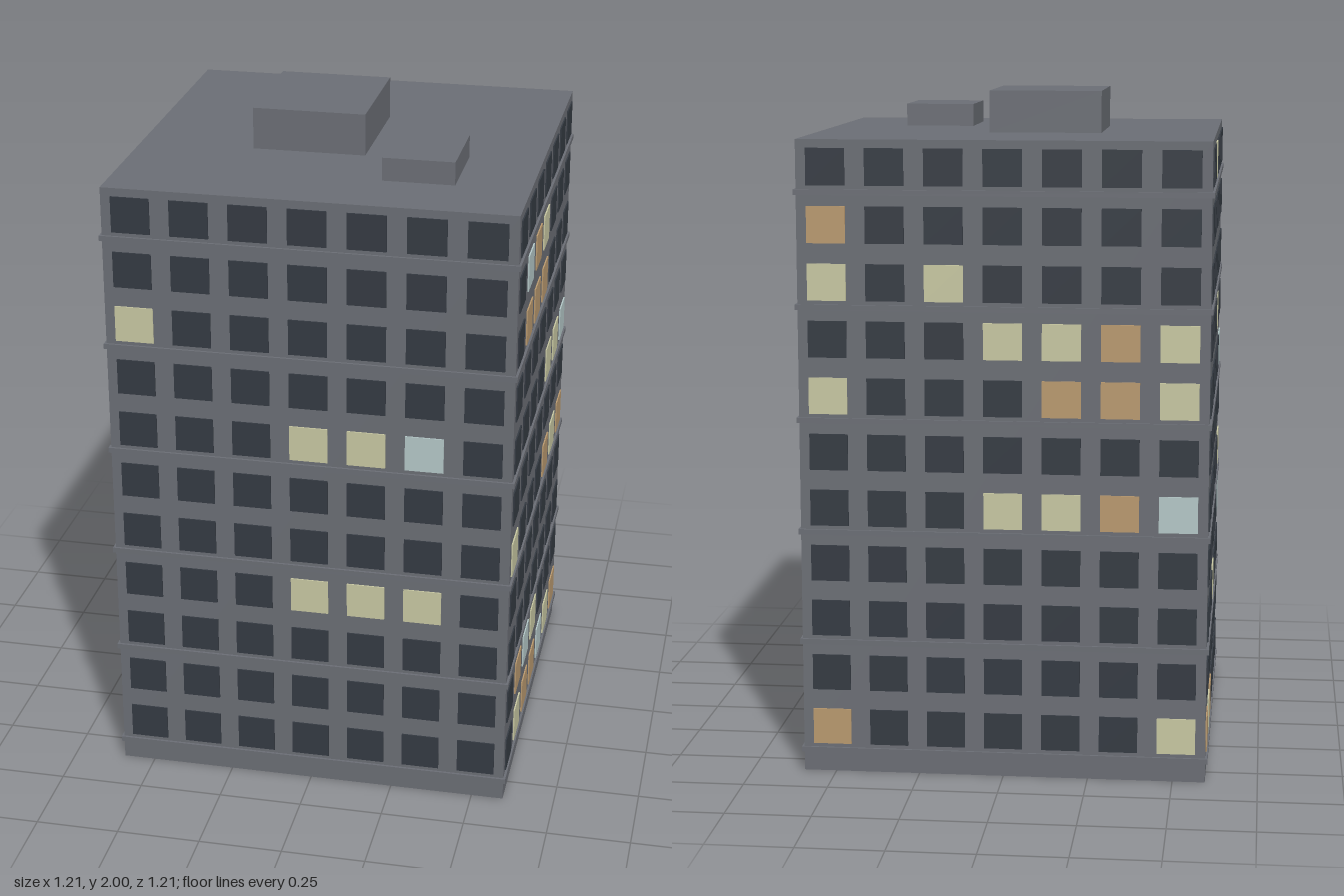
import * as THREE from 'three';

const material = (name, color) => {
  const m = new THREE.MeshStandardMaterial({ color });
  m.name = name;
  return m;
};

const HALF = 0.596;       // half width of the walls
const ROOF = 1.876;       // roof height
const FLOOR = 0.065;      // underside of the lowest storey
const ROW_STEP = 0.166, COL_STEP = 0.17, FIRST_ROW = 0.138;

// Window rows from top to bottom, columns left to right seen from outside:
// . dark, Y yellow, O orange, B pale blue
const FACADES = [
  { name: 'frontWindows', turn: 0, rows: [
    '.......', '.......', 'Y......', '.......', '...YYB.', '.......',
    '.......', '...YYY.', '.......', '.......', '.......'] },
  { name: 'plusXWindows', turn: Math.PI / 2, rows: [
    '.......', '.BOY...', '.OOO...', '.......', '....YYB', '.......',
    'Y...OYO', '.......', '.......', '.OBY...', '.YOOBYO'] },
  { name: 'backWindows', turn: Math.PI, rows: [
    '.......', 'O......', 'Y.Y....', '...YYOY', 'Y...OOY', '.......',
    '...YYOB', '.......', '.......', '.......', 'O.....Y'] },
  { name: 'minusXWindows', turn: -Math.PI / 2, rows: [
    '..Y....', '.......', '.......', '....Y..', '......B', '.......',
    '......Y', '......B', '...Y...', '.......', 'OYO....'] },
];

export function createModel() {
  const model = new THREE.Group();
  model.name = 'officeTower';

  const concrete = material('concrete grey', 0x6c6f76);
  const glass = {
    '.': material('dark glass', 0x353b43),
    Y: material('yellow lit glass', 0xcacaa4),
    O: material('orange lit glass', 0xbb9b70),
    B: material('pale blue lit glass', 0xb6caca),
  };

  // Box given by its x, y and z ranges
  const block = (name, [x0, x1], [y0, y1], [z0, z1]) => {
    const mesh = new THREE.Mesh(new THREE.BoxGeometry(x1 - x0, y1 - y0, z1 - z0), concrete);
    mesh.position.set((x0 + x1) / 2, (y0 + y1) / 2, (z0 + z1) / 2);
    mesh.name = name;
    model.add(mesh);
  };

  // Main block and the two roof boxes
  block('tower', [-HALF, HALF], [FLOOR, ROOF], [-HALF, HALF]);
  block('largeRoofBox', [-0.255, 0.08], [ROOF, 2], [-0.215, 0.17]);
  block('smallRoofBox', [0.17, 0.38], [ROOF, 1.944], [0.125, 0.38]);

  // Thin-walled base, open underneath
  const square = (Type, h) => new Type([[-h, -h], [h, -h], [h, h], [-h, h]]
    .map(([x, y]) => new THREE.Vector2(x, y)));
  const ring = square(THREE.Shape, HALF);
  ring.holes.push(square(THREE.Path, HALF - 0.006));
  const baseGeometry = new THREE.ExtrudeGeometry(ring, { depth: FLOOR, bevelEnabled: false });
  baseGeometry.rotateX(-Math.PI / 2);
  const base = new THREE.Mesh(baseGeometry, concrete);
  base.name = 'baseWall';
  model.add(base);

  // Ledges running round the tower at every second storey
  for (let i = 0; i < 6; i++) {
    const y = 0.065 + i * 2 * ROW_STEP;
    for (const side of [0, 1, 2, 3]) {
      const ledge = new THREE.Mesh(new THREE.BoxGeometry(1.206, 0.016, 0.014), concrete);
      const turn = side * Math.PI / 2;
      ledge.position.set(Math.sin(turn) * HALF, y, Math.cos(turn) * HALF);
      ledge.rotation.y = turn;
      ledge.name = 'ledge';
      model.add(ledge);
    }
  }

  // Window panes standing slightly proud of each wall
  const pane = new THREE.BoxGeometry(0.113, 0.107, 0.008);
  for (const { name, turn, rows } of FACADES) {
    const facade = new THREE.Group();
    facade.name = name;
    facade.rotation.y = turn;
    rows.forEach((row, r) => [...row].forEach((kind, c) => {
      const mesh = new THREE.Mesh(pane, glass[kind]);
      mesh.position.set((c - 3) * COL_STEP, FIRST_ROW + (10 - r) * ROW_STEP, HALF);
      mesh.name = 'window';
      facade.add(mesh);
    }));
    model.add(facade);
  }

  return model;
}
